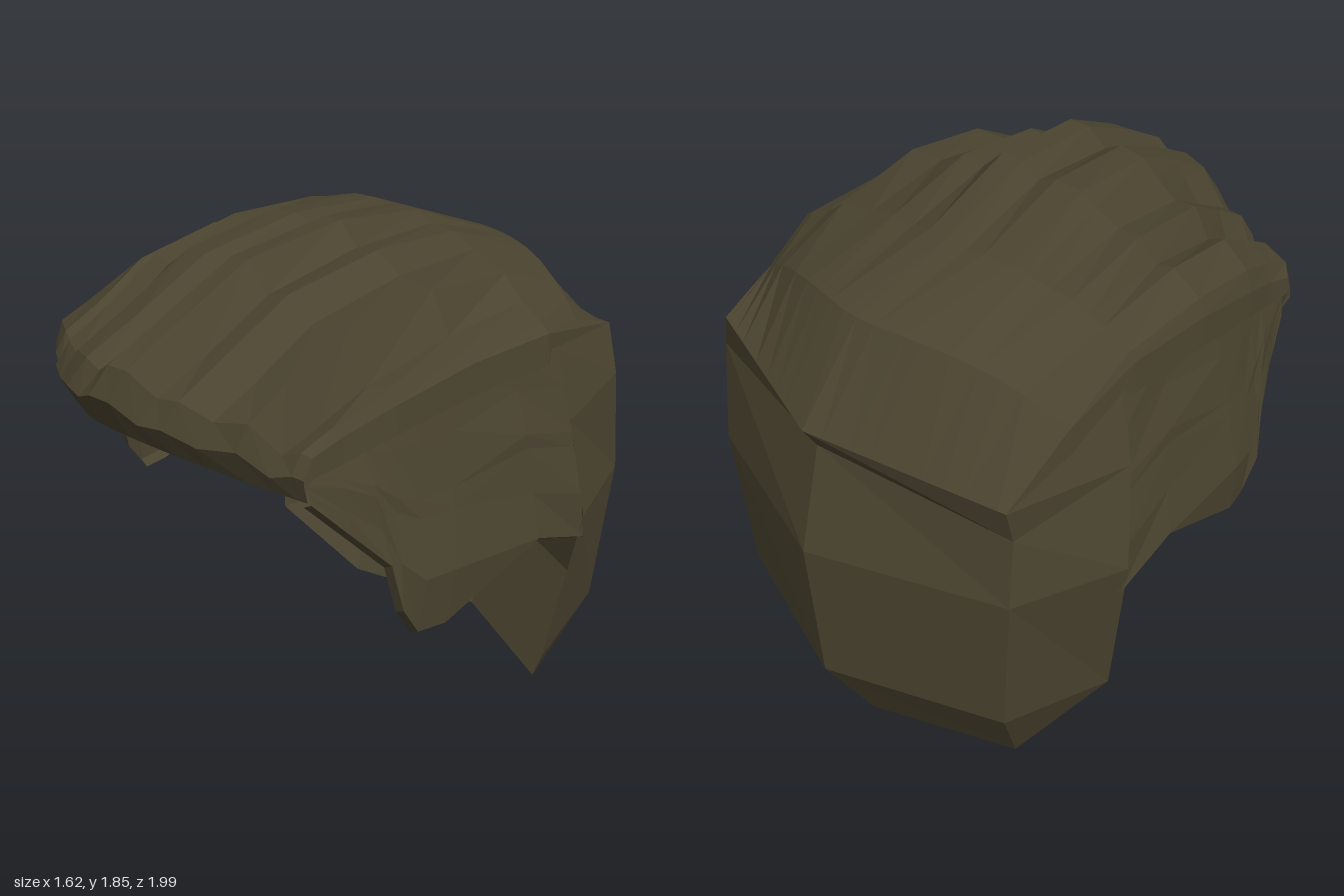
import * as THREE from 'three';

const hair = new THREE.MeshStandardMaterial({ color: 0x4a432f, flatShading: true, side: THREE.DoubleSide });
hair.name = 'dark olive brown hair';

// Faceted surface through rows of [x, y, z] points
function surface(name, rows, flip = false) {
  const pos = [];
  const tri = (a, b, c) => (flip ? pos.push(...a, ...c, ...b) : pos.push(...a, ...b, ...c));
  for (let i = 0; i < rows.length - 1; i++) {
    for (let j = 0; j < rows[i].length - 1; j++) {
      const a = rows[i][j], b = rows[i + 1][j], c = rows[i + 1][j + 1], d = rows[i][j + 1];
      tri(a, b, c);
      tri(a, c, d);
    }
  }
  const g = new THREE.BufferGeometry();
  g.setAttribute('position', new THREE.Float32BufferAttribute(pos, 3));
  g.computeVertexNormals();
  const mesh = new THREE.Mesh(g, hair);
  mesh.name = name;
  return mesh;
}

// Piecewise linear lookup in [[key, value], ...] with rising keys
function lookup(table, k) {
  for (let i = 1; i < table.length; i++) {
    const [k0, v0] = table[i - 1], [k1, v1] = table[i];
    if (k <= k1) return v0 + (v1 - v0) * Math.max(0, (k - k0) / (k1 - k0));
  }
  return table[table.length - 1][1];
}

// Swept strands on top: ridges and valleys that deepen towards the fringe
function topStrands() {
  // [position across, ridge height]
  const strands = [
    [-1, 0], [-0.96, 0.6], [-0.8, -0.3], [-0.7, -1.8], [-0.6, -0.8], [-0.47, -1.7], [-0.34, -1.1],
    [-0.25, -0.4], [-0.1, -0.3], [0, -0.9], [0.1, 0.2], [0.21, 0.4], [0.32, -1.2],
    [0.44, -0.5], [0.58, -1.1], [0.76, 0.5], [0.86, -1.3], [0.96, 0.1], [1, 0],
  ];
  // w: half width right and left; y and z: centre value and drop at the side, with exponents yp and zp;
  // hem hangs below the side edge
  const sections = [
    { w: [0.64, 0.56], y: [1.35, 0], z: [-0.95, -0.18], yp: 2, zp: 1, ridge: 0, sweep: 0, tilt: 0.08, hem: 0 },
    { w: [0.67, 0.62], y: [1.65, 0.18], z: [-0.73, -0.2], yp: 3, zp: 1.5, ridge: 0, sweep: -0.03, tilt: 0.02, hem: 0.1 },
    { w: [0.7, 0.7], y: [1.78, 0.22], z: [-0.38, -0.1], yp: 3, zp: 1.5, ridge: 0.012, sweep: -0.14, tilt: 0, hem: 0.1 },
    { w: [0.71, 0.71], y: [1.84, 0.28], z: [0.06, 0], yp: 3, zp: 1, ridge: 0.04, sweep: -0.05, tilt: 0, hem: 0.1 },
    { w: [0.69, 0.69], y: [1.805, 0.3], z: [0.47, 0.11], yp: 3, zp: 1.5, ridge: 0.055, sweep: 0, tilt: 0, hem: 0.09 },
    { w: [0.66, 0.66], y: [1.69, 0.24], z: [0.76, 0.22], yp: 2.4, zp: 1.5, ridge: 0.05, sweep: 0.04, tilt: 0, hem: 0.08 },
    { w: [0.66, 0.66], y: [1.6, 0.18], z: [0.95, 0.3], yp: 1.8, zp: 1.5, ridge: 0.04, sweep: 0.04, tilt: 0, hem: 0.06 },
    { w: [0.66, 0.66], y: [1.51, 0.15], z: [1, 0.32], yp: 1.5, zp: 1.5, ridge: 0.03, sweep: 0, tilt: 0, hem: 0.03 },
    { w: [0.64, 0.64], y: [1.39, 0.12], z: [0.94, 0.29], yp: 1.3, zp: 1.4, ridge: 0, sweep: 0, tilt: 0, hem: 0 },
    { w: [0.61, 0.61], y: [1.41, 0.1], z: [0.8, 0.22], yp: 1.3, zp: 1.4, ridge: 0, sweep: 0, tilt: 0, hem: 0 },
  ];
  return surface('topStrands', sections.map((s) => {
    const row = strands.map(([u, r]) => {
      const a = Math.abs(u);
      return [
        u * s.w[u > 0 ? 1 : 0] + s.sweep * (1 - u * u),
        s.y[0] - s.y[1] * a ** s.yp + s.ridge * r + s.tilt * u,
        s.z[0] - s.z[1] * a ** s.zp + (s.z[0] > 0.7 ? s.ridge * r * 0.4 : 0),
      ];
    });
    const hem = ([x, y, z]) => [x + Math.sign(x) * s.hem * 0.1, y - s.hem, z];
    return [hem(row[0]), ...row, hem(row[row.length - 1])];
  }));
}

// Side panel with sideburn, turned in at its lower edge
function sidePanel(side) {
  const widthByY = [[0.73, 0.785], [0.87, 0.81], [0.92, 0.81], [1.2, 0.755], [1.26, 0.76], [1.46, 0.7], [1.56, 0.695]];
  const taperByZ = [[0.22, 0], [0.35, 0.025], [0.45, 0.045], [0.65, 0.1]];
  // [top z, top y, bottom z, bottom y]
  const columns = [
    [0.68, 1.39, 0.65, 1.27], [0.57, 1.46, 0.53, 1.14], [0.48, 1.48, 0.42, 1.02], [0.38, 1.5, 0.39, 0.86],
    [0.28, 1.52, 0.32, 0.75], [0.14, 1.53, 0.22, 0.75], [-0.12, 1.54, -0.18, 0.91], [-0.33, 1.5, -0.42, 0.82],
  ];
  const rows = [0, 0.2, 0.42, 0.5, 0.75, 1].map((t) => columns.map(([z0, y0, z1, y1]) => {
    const y = y0 + (y1 - y0) * t, z = z0 + (z1 - z0) * t;
    return [side * (lookup(widthByY, y) - lookup(taperByZ, z)), y, z];
  }));
  rows.push(rows[5].map(([x, y, z]) => [x - side * 0.035, y - 0.02, z]));
  return surface(side > 0 ? 'leftSideburn' : 'rightSideburn', rows, side < 0);
}

// Long hair down the nape, folded at the two rear corners
function napeHair() {
  // [left edge, left corner, centre, right corner] for each level; the first meets the rim of the top
  const levels = [
    [[0.697, 1.5, -0.32], [0.56, 1.43, -0.77], [0, 1.35, -0.95], [-0.64, 1.27, -0.77]],
    [[0.76, 1.26, -0.35], [0.64, 1.28, -0.73], [0, 1.27, -0.9], [-0.64, 1.15, -0.74]],
    [[0.81, 0.91, -0.4], [0.65, 0.91, -0.77], [0, 0.91, -1], [-0.65, 0.91, -0.77]],
    [[0.725, 0.31, -0.35], [0.61, 0.36, -0.75], [0, 0.36, -0.97], [-0.61, 0.36, -0.75]],
    [[0.51, 0, -0.58], [0.51, 0, -0.58], [0, 0, -0.77], [-0.51, 0, -0.58]],
  ];
  return surface('napeHair', levels.map((row) => [...row, [-row[0][0], row[0][1], row[0][2]]]));
}

export function createModel() {
  const group = new THREE.Group();
  group.name = 'hair';
  group.add(topStrands(), sidePanel(1), sidePanel(-1), napeHair());
  return group;
}
